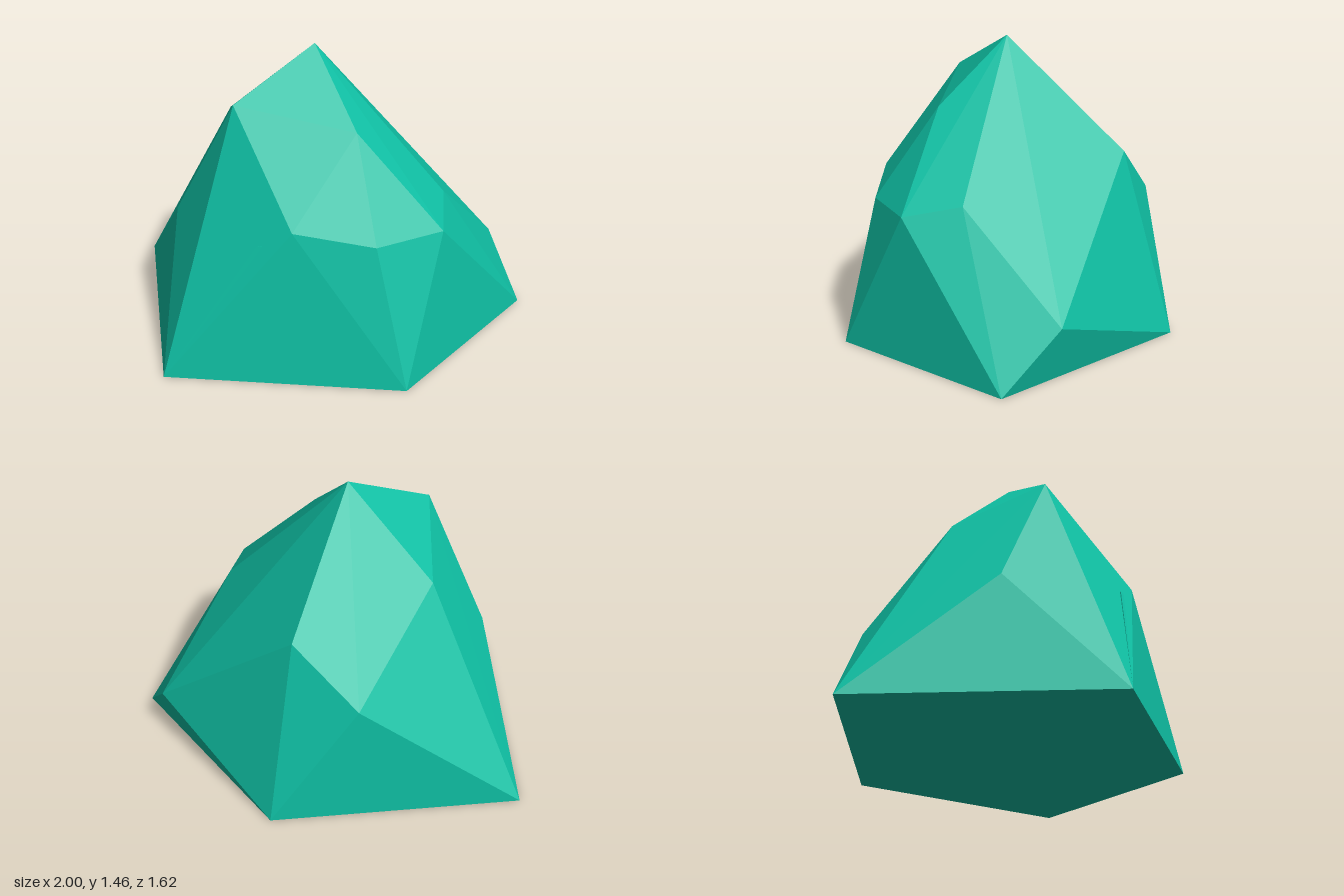
import * as THREE from 'three';
import { ConvexGeometry } from 'three/addons/geometries/ConvexGeometry.js';

const toVectors = (points) => points.map((p) => new THREE.Vector3(...p));

export function createModel() {
  const group = new THREE.Group();
  group.name = 'rock';
  const material = new THREE.MeshStandardMaterial({ color: 0x0fbfa3, flatShading: true });

  // Flat five-sided foot
  const foot = [
    [-1, 0, -0.54], [-0.8, 0, 0.7], [0.37, 0, 0.81], [1, 0, 0.02], [0.22, 0, -0.81],
  ];
  // Corners of the facets around the sides
  const sides = [
    [-0.76, 0.62, 0.13], [-0.17, 0.77, 0.65], [0.22, 0.7, 0.66], [0.54, 0.7, 0.5],
    [0.56, 0.76, 0.21], [0.86, 0.28, -0.25], [-0.2, 0.65, -0.7],
  ];
  // Shoulders and peak
  const crown = [
    [-0.45, 1.25, 0.28], [0.13, 1.14, 0.35], [0.13, 0.92, -0.56],
    [-0.5, 1.04, -0.17], [-0.07, 1.46, 0.02],
  ];
  const stone = new THREE.Mesh(new ConvexGeometry(toVectors([...foot, ...sides, ...crown])), material);
  stone.name = 'stone';
  group.add(stone);

  // Thin raised splinter on the front face
  const splinter = new THREE.Mesh(new ConvexGeometry(toVectors([
    [-0.8, 0, 0.7], [-0.335, 0.685, 0.615], [-0.31, 0.685, 0.625], [-0.32, 0.68, 0.6],
  ])), material);
  splinter.name = 'splinter';
  group.add(splinter);

  return group;
}
